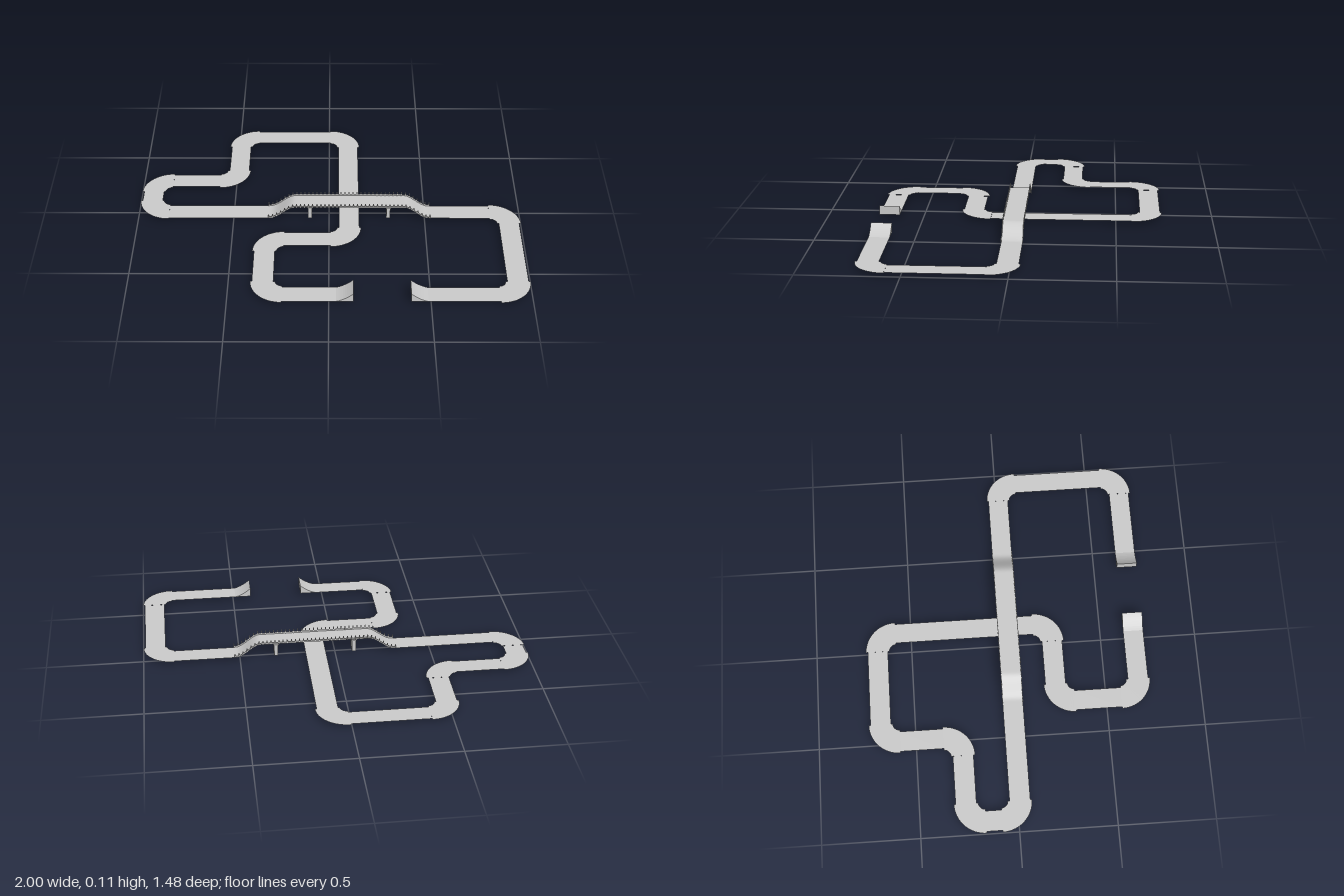
import * as THREE from 'three';
import { mergeGeometries } from 'three/addons/utils/BufferGeometryUtils.js';

const W = 0.106, R = 0.097, KERB = 0.009, GROUND = 0.017, RISE = 0.068;
const BRIDGE = { x0: -0.32, x1: 0.53, z: 0.012 };

// Centre line corners of the track, as [x, z]
const PATH = [
  [0.12, 0.675], [-0.328, 0.675], [-0.328, 0.242], [0.104, 0.242], [0.104, -0.678],
  [-0.49, -0.678], [-0.49, -0.262], [-0.937, -0.262], [-0.937, BRIDGE.z],
  [0.937, BRIDGE.z], [0.937, 0.675], [0.402, 0.675],
];

const smooth = (a, b, x) => THREE.MathUtils.smoothstep(x, a, b);
// Deck height along the bridge
const deckY = (x) => GROUND + RISE * (smooth(-0.31, -0.175, x) - smooth(0.39, 0.52, x));

export function createModel() {
  const model = new THREE.Group();
  const sheet = new THREE.MeshStandardMaterial({ color: 0xcccccc, side: THREE.DoubleSide });
  const solid = new THREE.MeshStandardMaterial({ color: 0xcccccc, flatShading: true });

  const add = (name, geometry, material, x = 0, y = 0, z = 0, parent = model) => {
    const mesh = new THREE.Mesh(geometry, material);
    mesh.name = name;
    mesh.position.set(x, y, z);
    parent.add(mesh);
    return mesh;
  };

  // Flat straight between two points of one axis
  const straight = (a, b) => {
    const dx = Math.abs(b.x - a.x), dz = Math.abs(b.y - a.y);
    const g = new THREE.PlaneGeometry(dx > dz ? dx : W, dx > dz ? W : dz).rotateX(-Math.PI / 2);
    add('straightTrack', g, sheet, (a.x + b.x) / 2, GROUND, (a.y + b.y) / 2);
  };

  // Straights and corners, following the centre line
  const pts = PATH.map(([x, z]) => new THREE.Vector2(x, z));
  const dirs = pts.slice(1).map((p, i) => p.clone().sub(pts[i]).normalize());
  dirs.forEach((d, i) => {
    const a = pts[i].clone().addScaledVector(d, i > 0 ? R : 0);
    const b = pts[i + 1].clone().addScaledVector(d, i < dirs.length - 1 ? -R : 0);
    if (i === 8) { // leave room for the bridge
      straight(a, new THREE.Vector2(BRIDGE.x0, a.y));
      straight(new THREE.Vector2(BRIDGE.x1, b.y), b);
    } else straight(a, b);

    const next = dirs[i + 1];
    if (!next) return;
    // Quarter ring, slightly wider than the straights to make the kerbs
    const c = b.clone().addScaledVector(next, R);
    const mid = d.clone().sub(next);
    const start = Math.atan2(-mid.y, mid.x) - Math.PI / 4;
    const ring = new THREE.RingGeometry(R - W / 2 - KERB, R + W / 2 + KERB, 16, 1, start, Math.PI / 2);
    add('cornerTrack', ring.rotateX(-Math.PI / 2), sheet, c.x, GROUND + 0.0005, c.y);
  });

  // Bridge deck and low side curbs, bent along the height curve
  const bridge = new THREE.Group();
  bridge.name = 'bridge';
  bridge.position.z = BRIDGE.z;
  model.add(bridge);
  const length = BRIDGE.x1 - BRIDGE.x0, midX = (BRIDGE.x0 + BRIDGE.x1) / 2;
  const bend = (g) => {
    const p = g.attributes.position;
    for (let i = 0; i < p.count; i++) p.setY(i, p.getY(i) + deckY(p.getX(i)));
    g.computeVertexNormals();
    return g;
  };
  const deck = new THREE.PlaneGeometry(length, W, 80, 1).rotateX(-Math.PI / 2).translate(midX, 0, 0);
  add('bridgeDeck', bend(deck), sheet, 0, 0, 0, bridge);
  for (const side of [-1, 1]) {
    const curb = new THREE.PlaneGeometry(length, 0.009, 80, 1).translate(midX, 0.0045, 0);
    add('bridgeCurb', bend(curb), sheet, 0, 0, side * W / 2, bridge);
    // Row of short railing posts
    const posts = [];
    for (let i = 0; i <= 40; i++) {
      const x = BRIDGE.x0 + 0.003 + i * (length - 0.006) / 40;
      posts.push(new THREE.BoxGeometry(0.005, 0.022, 0.003).translate(x, deckY(x) + 0.011, 0));
    }
    add('railingPosts', mergeGeometries(posts), solid, 0, 0, side * W / 2, bridge);
  }

  // Bridge piers: a column below a tapered cap
  for (const x of [-0.1, 0.31]) {
    const pier = new THREE.Group();
    pier.name = 'bridgePier';
    pier.position.x = x;
    bridge.add(pier);
    add('pierColumn', new THREE.BoxGeometry(0.02, 0.066, 0.058), solid, 0, 0.033, 0, pier);
    const cap = new THREE.BoxGeometry(0.036, 0.02, 0.09);
    const p = cap.attributes.position;
    for (let i = 0; i < p.count; i++) {
      if (p.getY(i) < 0) p.setXYZ(i, p.getX(i) * 0.7, p.getY(i), p.getZ(i) * 0.75);
    }
    cap.computeVertexNormals();
    add('pierCap', cap, solid, 0, 0.074, 0, pier);
  }

  // Jump ramps with a shallow concave slope, facing each other across the gap
  const jumpRamp = (x, rise) => {
    const shape = new THREE.Shape();
    shape.moveTo(0, 0);
    if (rise > 0) {
      shape.quadraticCurveTo(0.045, 0.012, 0.085, 0.048);
      shape.lineTo(0.085, 0);
    } else {
      shape.lineTo(0, 0.048);
      shape.quadraticCurveTo(0.04, 0.012, 0.085, 0);
    }
    const g = new THREE.ExtrudeGeometry(shape, { depth: W, bevelEnabled: false, curveSegments: 8 });
    add('jumpRamp', g, solid, x, GROUND, 0.675 - W / 2);
  };
  jumpRamp(0.036, 1);
  jumpRamp(0.402, -1);

  return model;
}
